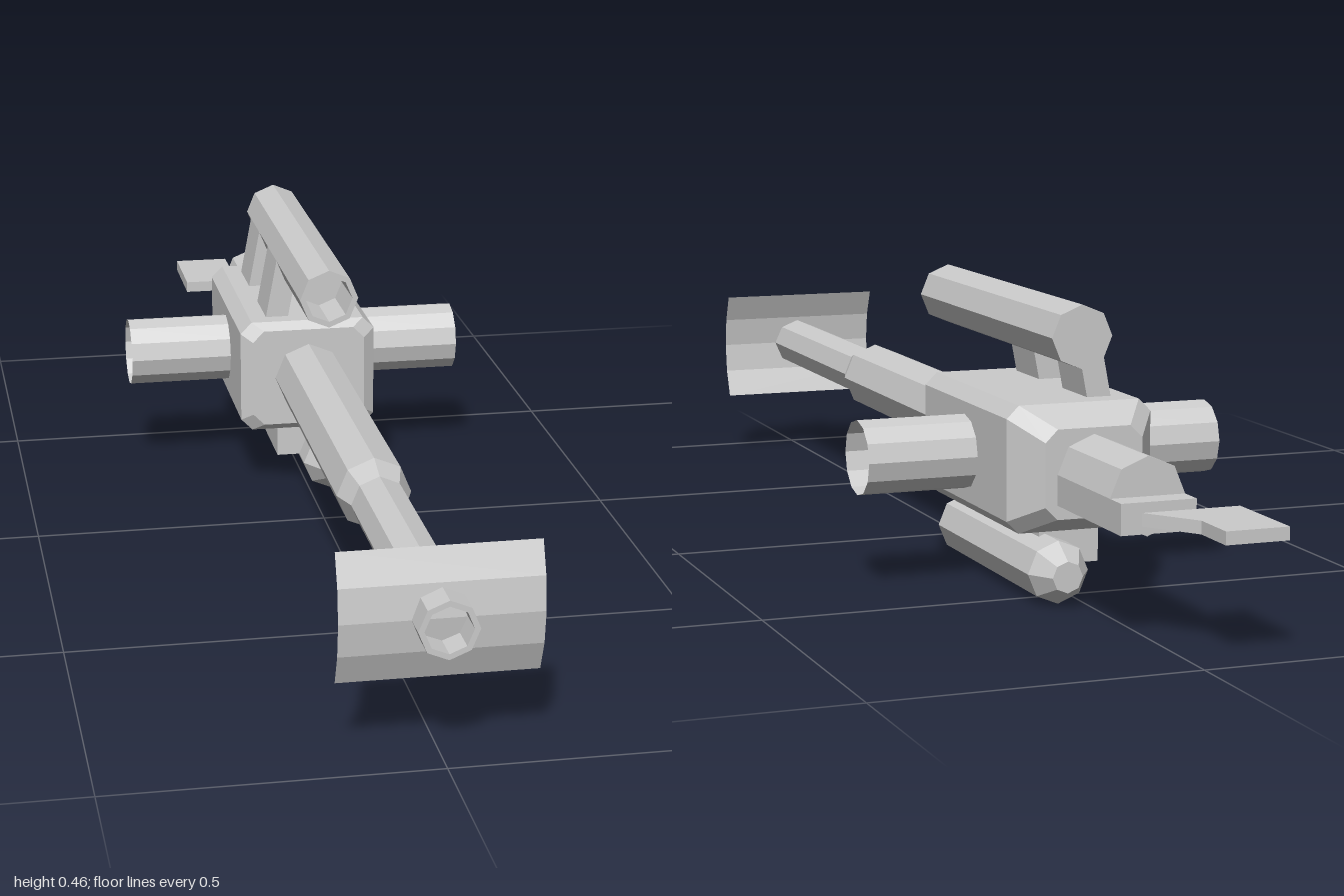
import * as THREE from 'three';

const material = new THREE.MeshStandardMaterial({
  color: 0xcccccc, flatShading: true, side: THREE.DoubleSide,
});
const AXIS_Y = 0.2125; // height of the barrel axis

export function createModel() {
  const model = new THREE.Group();

  const add = (name, geometry, x = 0, y = 0, z = 0) => {
    const mesh = new THREE.Mesh(geometry, material);
    mesh.name = name;
    mesh.position.set(x, y, z);
    model.add(mesh);
    return mesh;
  };

  // Eight-sided turned part along z, from [radius, z] pairs running back to front
  const turned = (profile) => new THREE.LatheGeometry(
    profile.map(([r, z]) => new THREE.Vector2(r, z)), 8).rotateX(Math.PI / 2);

  const extruded = (points, depth) => new THREE.ExtrudeGeometry(
    new THREE.Shape(points.map(([x, y]) => new THREE.Vector2(x, y))),
    { depth, bevelEnabled: false });

  // Barrel with stepped front section and hollow muzzle
  add('barrel', turned([
    [0, -0.8], [0.06, -0.8], [0.06, 0.45], [0.045, 0.495],
    [0.045, 1], [0.036, 1], [0.036, 0.85], [0, 0.85],
  ]), 0, AXIS_Y, 0);

  // Receiver body with chamfered edges and tapered rear
  add('body', loftedBody([
    [-0.6, 0.08, 0.07], [-0.54, 0.12, 0.1], [-0.17, 0.12, 0.1], [-0.155, 0.1, 0.087],
  ], 0.02), 0, AXIS_Y, 0);

  // Open cross tubes on both sides
  for (const side of [-1, 1]) {
    const tube = new THREE.CylinderGeometry(0.06, 0.06, 0.2, 12, 1, true).rotateZ(Math.PI / 2);
    add(side > 0 ? 'leftTube' : 'rightTube', tube, side * 0.2, AXIS_Y, -0.355);
  }

  // Upper scope, hollow at the front, on two slanted mounts
  add('scope', turned([
    [0, -0.55], [0.05, -0.55], [0.05, 0.05], [0.04, 0.05], [0.04, -0.05], [0, -0.05],
  ]), 0, 0.415, 0);
  for (const z of [-0.3, -0.5]) {
    add('scopeMount', extruded(
      [[-0.072, 0.3], [-0.032, 0.3], [-0.01, 0.415], [-0.05, 0.415]], 0.1), 0, 0, z);
  }

  // Lower pod with tapered ends and its mount
  add('lowerPod', turned([
    [0, -0.595], [0.025, -0.595], [0.05, -0.555], [0.05, -0.15], [0.025, -0.11], [0, -0.11],
  ]), 0.04, 0.0505, 0);
  add('lowerPodMount', new THREE.BoxGeometry(0.1, 0.08, 0.3), 0, 0.0905, -0.35);

  // Rear block and offset tail plate
  add('rearBlock', new THREE.BoxGeometry(0.12, 0.0475, 0.28), 0, 0.1888, -0.7);
  add('tailPlate', extruded(
    [[-0.13, -1], [-0.03, -1], [-0.03, -0.92], [0.027, -0.84], [-0.13, -0.84]], 0.02)
    .rotateX(Math.PI / 2), 0, 0.197, 0);

  // Curved muzzle shield, bulging forward
  const shield = new THREE.CylinderGeometry(
    0.2, 0.2, 0.3, 4, 1, true, -Math.PI / 6, Math.PI / 3).rotateZ(Math.PI / 2);
  add('shield', shield, 0, AXIS_Y, 0.756);

  return model;
}

// Joins chamfered rectangles given as [z, half width, half height], back to front
function loftedBody(sections, c) {
  const positions = [];
  const index = [];
  for (const [z, w, h] of sections) {
    const ring = [[w, -h + c], [w, h - c], [w - c, h], [c - w, h],
      [-w, h - c], [-w, c - h], [c - w, -h], [w - c, -h]];
    for (const [x, y] of ring) positions.push(x, y, z);
  }
  for (let s = 0; s < sections.length - 1; s++) {
    for (let i = 0; i < 8; i++) {
      const a = s * 8 + i;
      const b = s * 8 + (i + 1) % 8;
      index.push(a, b, b + 8, a, b + 8, a + 8);
    }
  }
  // End caps
  const last = (sections.length - 1) * 8;
  for (let i = 1; i < 7; i++) {
    index.push(0, i + 1, i, last, last + i, last + i + 1);
  }
  const geometry = new THREE.BufferGeometry();
  geometry.setAttribute('position', new THREE.Float32BufferAttribute(positions, 3));
  geometry.setIndex(index);
  geometry.computeVertexNormals();
  return geometry;
}
